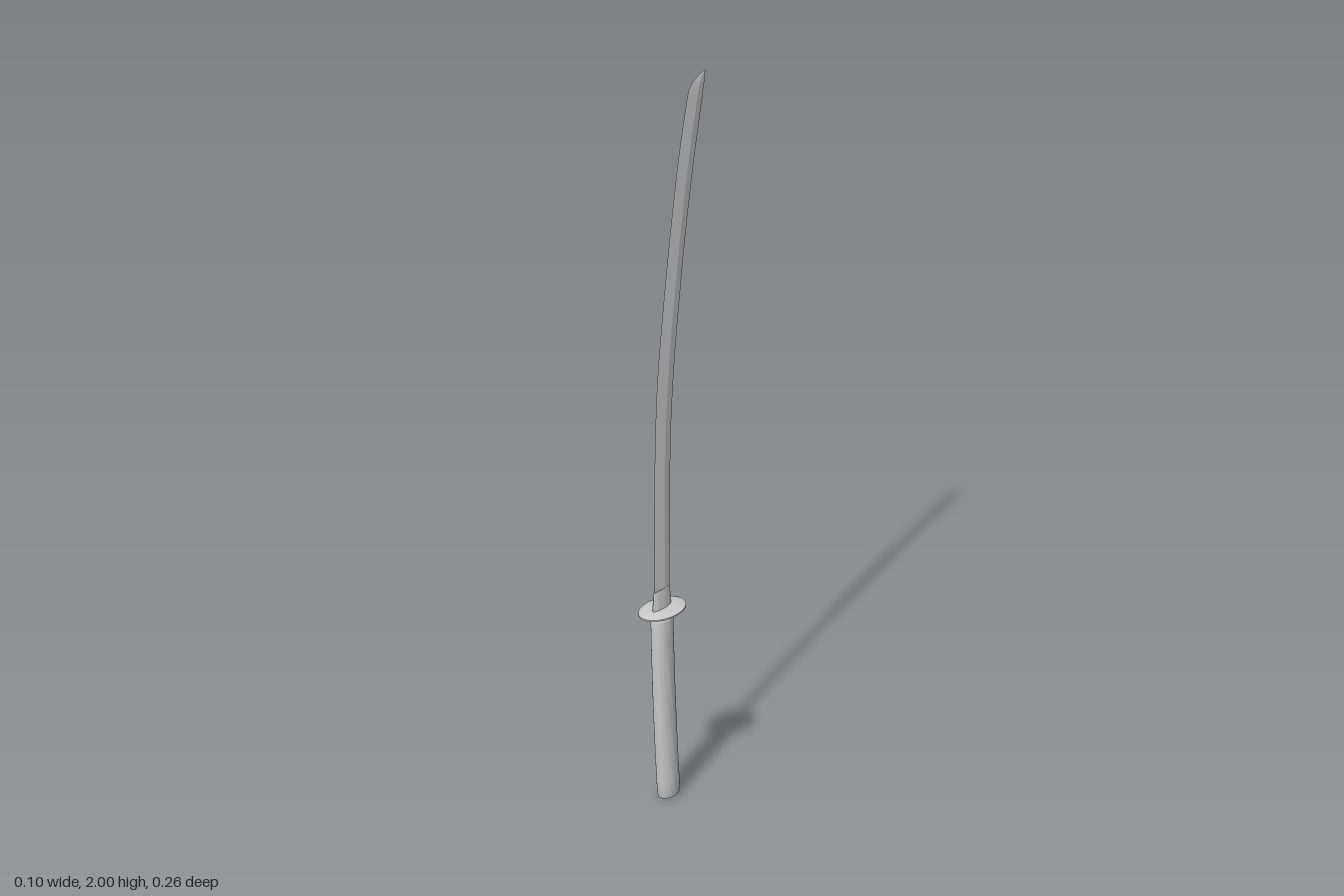
import * as THREE from 'three';
import { toCreasedNormals } from 'three/addons/utils/BufferGeometryUtils.js';

const material = new THREE.MeshStandardMaterial({ color: 0xcccccc });

// Skin a stack of closed rings (bottom to top) and cap both ends.
function loft(rings, crease) {
  const n = rings[0].length, pos = [], index = [];
  const middle = ring => ring.reduce((s, p) => s.add(p), new THREE.Vector3()).divideScalar(n);
  rings.flat().forEach(p => pos.push(p.x, p.y, p.z));
  for (let i = 0; i < rings.length - 1; i++) {
    for (let j = 0; j < n; j++) {
      const a = i * n + j, b = i * n + (j + 1) % n;
      index.push(a, a + n, b + n, a, b + n, b);
    }
  }
  const low = rings.length * n, top = low - n;
  for (const ring of [rings[0], rings[rings.length - 1]]) pos.push(...middle(ring).toArray());
  for (let j = 0; j < n; j++) {
    const k = (j + 1) % n;
    index.push(low, j, k, low + 1, top + k, top + j);
  }
  const geo = new THREE.BufferGeometry();
  geo.setAttribute('position', new THREE.Float32BufferAttribute(pos, 3));
  geo.setIndex(index);
  return toCreasedNormals(geo, crease);
}

// Horizontal oval ring; tilt leans it along z.
function oval(y, z, rx, rz, tilt = 0, n = 32) {
  return Array.from({ length: n }, (_, j) => {
    const a = j / n * Math.PI * 2, dz = Math.sin(a) * rz;
    return new THREE.Vector3(Math.cos(a) * rx, y + dz * tilt, z + dz);
  });
}

export function createModel() {
  const group = new THREE.Group();
  const add = (name, geo) => {
    const mesh = new THREE.Mesh(geo, material);
    mesh.name = name;
    group.add(mesh);
  };

  // Blade: cutting edge on +z, spine on -z, both sweeping back to the tip
  const curve = pts => new THREE.CatmullRomCurve3(pts.map(([z, y]) => new THREE.Vector3(0, y, z)));
  const edge = curve([[0.086, 0.55], [0.086, 0.8], [0.083, 1.02], [0.073, 1.2],
    [0.048, 1.4], [0.018, 1.6], [-0.018, 1.8], [-0.053, 1.95]]);
  const spine = curve([[0.024, 0.55], [0.024, 0.8], [0.021, 1.02], [0.008, 1.2],
    [-0.017, 1.4], [-0.047, 1.6], [-0.085, 1.8], [-0.115, 1.935]]);
  const section = (e, s, w) => {
    const at = (t, x) => new THREE.Vector3().lerpVectors(e, s, t).setX(x);
    return [at(0, 0), at(0.6, -w), at(1, -w * 0.6), at(1, w * 0.6), at(0.6, w)];
  };
  const rings = [];
  for (let i = 0; i <= 28; i++) rings.push(section(edge.getPoint(i / 28), spine.getPoint(i / 28), 0.0055));
  const tip = [[-0.06, 1.97, -0.119, 1.955, 0.005], [-0.071, 1.983, -0.123, 1.97, 0.0045],
    [-0.086, 1.992, -0.126, 1.983, 0.0035], [-0.106, 1.998, -0.129, 1.993, 0.002],
    [-0.132, 2, -0.1325, 1.9995, 0.0003]];
  for (const [ez, ey, sz, sy, w] of tip) {
    rings.push(section(new THREE.Vector3(0, ey, ez), new THREE.Vector3(0, sy, sz), w));
  }
  add('blade', loft(rings, 0.16));

  // Collar around the blade root
  add('bladeCollar', loft([
    oval(0.545, 0.055, 0.011, 0.037), oval(0.59, 0.055, 0.008, 0.034), oval(0.6, 0.055, 0.006, 0.033),
  ], 0.6));

  // Oval guard, thinning towards its rim
  add('guard', loft([
    oval(0.532, 0.053, 0.026, 0.04, 0, 48), oval(0.534, 0.053, 0.042, 0.067, 0, 48),
    oval(0.538, 0.053, 0.05, 0.076, 0, 48), oval(0.542, 0.053, 0.05, 0.076, 0, 48),
    oval(0.546, 0.053, 0.042, 0.067, 0, 48), oval(0.548, 0.053, 0.026, 0.04, 0, 48),
  ], 0.9));

  // Narrow ring between guard and handle
  add('handleCollar', loft([oval(0.515, 0.053, 0.021, 0.032), oval(0.534, 0.053, 0.021, 0.032)], 0.6));

  // Handle: bowed oval grip with softened ends
  const grip = [];
  const profile = [[0.004, 0.8], [0.006, 0.93], [0.014, 1]];
  for (let i = 1; i <= 12; i++) profile.push([0.014 + 0.498 * i / 12, 1]);
  profile.push([0.521, 0.97], [0.525, 0.88]);
  for (const [y, s] of profile) {
    const t = y / 0.525;
    const z = 0.024 + 0.045 * t - 0.015 * t * t;
    grip.push(oval(y, z, 0.025 * s, 0.035 * s, -0.1 * (1 - t)));
  }
  add('handle', loft(grip, 0.6));

  return group;
}
